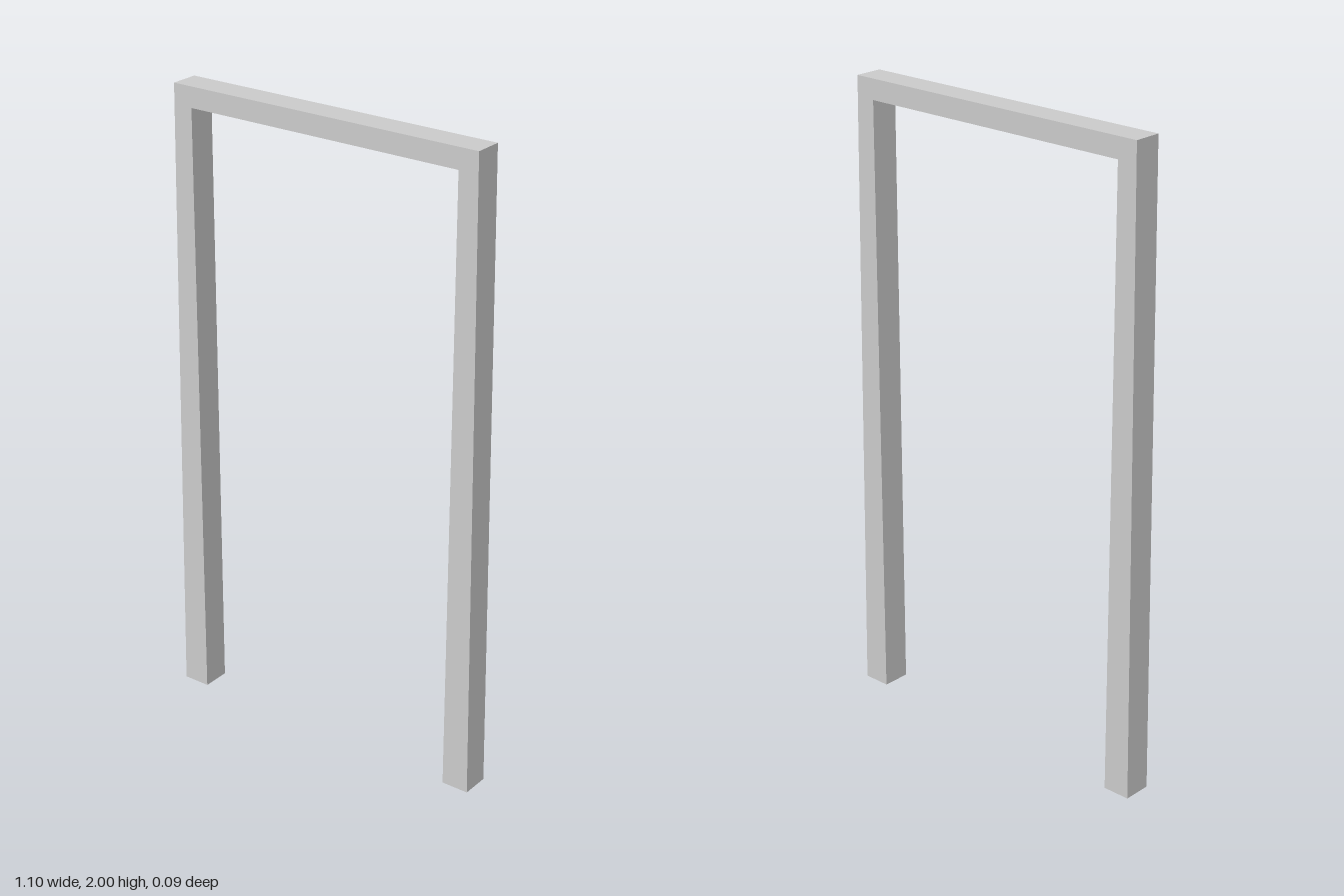
import * as THREE from 'three';

const DEPTH = 0.09;

export function createModel() {
  const group = new THREE.Group();
  group.name = 'doorFrame';

  // Right half of the outline: outer foot, outer top corner, inner top corner, inner foot
  const footX = 0.55, topX = 0.525, innerX = 0.462;
  const height = 2, openingHeight = 1.936;
  const outer = [[footX, 0], [topX, height]];
  const inner = [[innerX, openingHeight], [innerX, 0]];
  const mirror = (points) => points.map(([x, y]) => [-x, y]).reverse();

  // Tapered posts and lintel as one continuous arch
  const outline = [...outer, ...mirror(outer), ...mirror(inner), ...inner];
  const shape = new THREE.Shape(outline.map(([x, y]) => new THREE.Vector2(x, y)));
  const geometry = new THREE.ExtrudeGeometry(shape, { depth: DEPTH, bevelEnabled: false });
  geometry.translate(0, 0, -DEPTH / 2);

  const frame = new THREE.Mesh(
    geometry,
    new THREE.MeshStandardMaterial({ color: 0xcccccc, flatShading: true })
  );
  frame.name = 'postsAndLintel';
  group.add(frame);
  return group;
}
